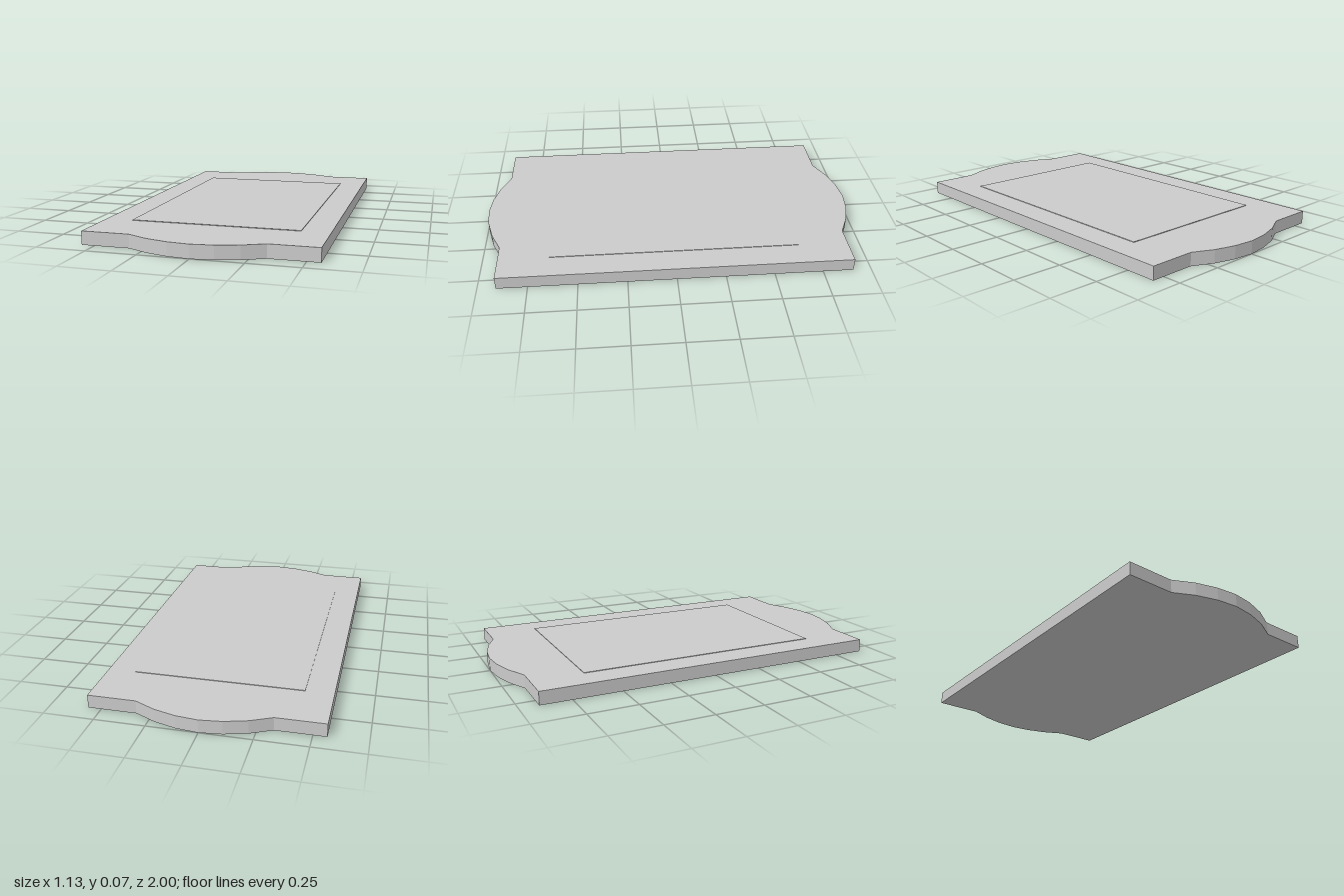
import * as THREE from 'three';

const HALF_W = 0.565, SHOULDER = 0.907, SLAB_H = 0.067, TOTAL_H = 0.07;

// One bowed end, listed from +x to -x as [x, distance from centre]
const BOW = [[0.325, SHOULDER], [0.22, 0.957], [0.11, 0.988], [0, 1], [-0.11, 0.988], [-0.22, 0.957], [-0.325, SHOULDER]];

export function createModel() {
  const group = new THREE.Group();
  group.name = 'plaque';
  const material = new THREE.MeshStandardMaterial({ color: 0xcccccc, flatShading: true });

  // Slab: rectangle with a bowed tab at each end
  const end = [[HALF_W, SHOULDER], ...BOW, [-HALF_W, SHOULDER]];
  const outline = [...end, ...end.map(([x, y]) => [-x, -y])];
  const shape = new THREE.Shape(outline.map(([x, y]) => new THREE.Vector2(x, y)));
  const slabGeometry = new THREE.ExtrudeGeometry(shape, { depth: SLAB_H, bevelEnabled: false });
  slabGeometry.rotateX(-Math.PI / 2);
  const slab = new THREE.Mesh(slabGeometry, material);
  slab.name = 'slab';
  group.add(slab);

  // Thin raised panel on the top face
  const panelH = TOTAL_H - SLAB_H;
  const panel = new THREE.Mesh(new THREE.BoxGeometry(0.85, panelH, 1.29), material);
  panel.name = 'raisedPanel';
  panel.position.y = SLAB_H + panelH / 2;
  group.add(panel);

  return group;
}
